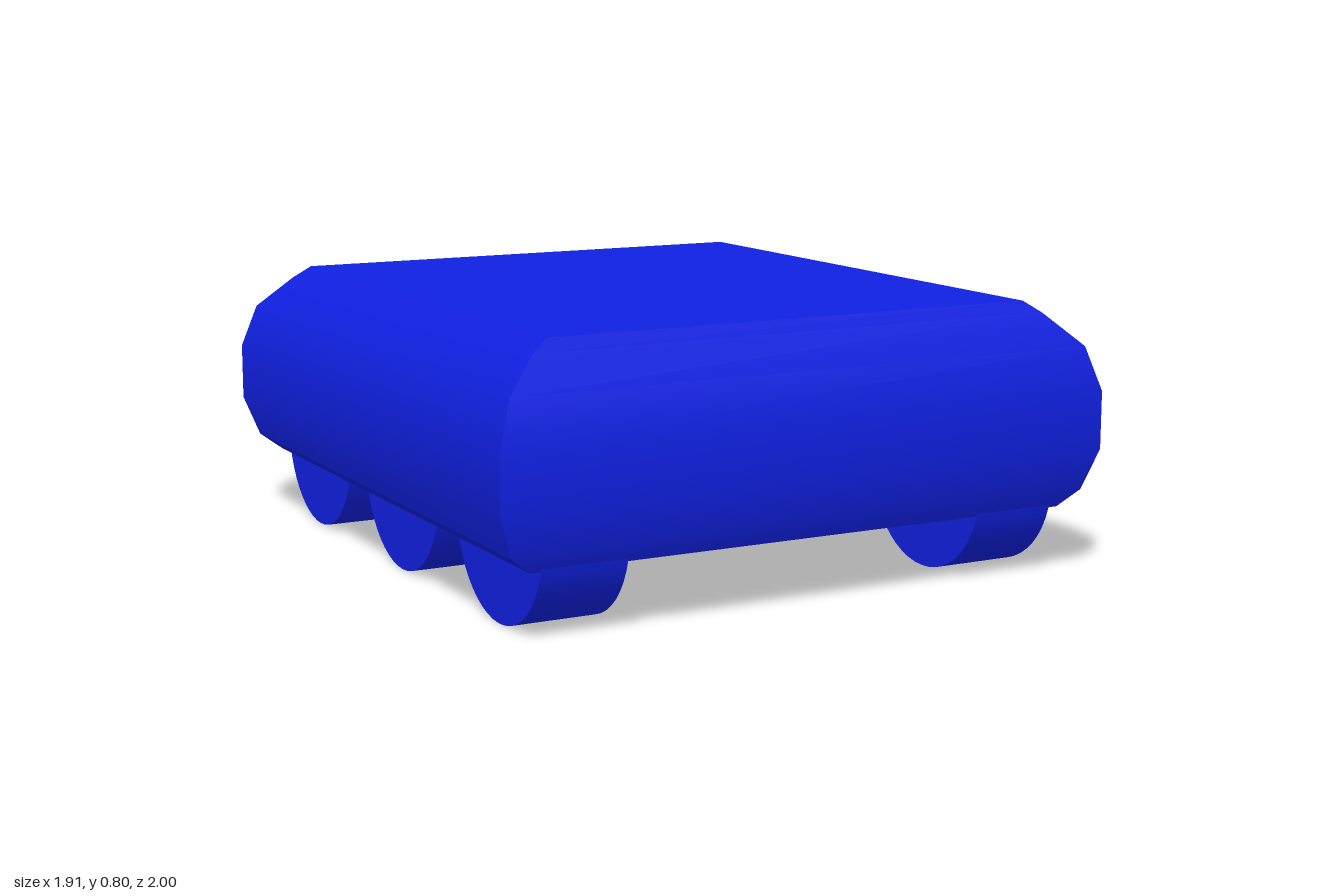
import * as THREE from 'three';
import { toCreasedNormals } from 'three/addons/utils/BufferGeometryUtils.js';

// Rectangular rings of the shell, bottom to top: [half width, height, half length]
const RINGS = [
  [0.845, 0.2, 0.943], [0.91, 0.25, 0.97], [0.953, 0.37, 1], [0.953, 0.54, 1],
  [0.91, 0.67, 0.97], [0.81, 0.765, 0.895], [0.757, 0.8, 0.873],
];
const CORNERS = [[1, 1], [1, -1], [-1, -1], [-1, 1]];

// Open-bottomed shell: mitred walls between the rings and a flat roof
function shellGeometry() {
  const positions = [], index = [];
  for (const [w, y, l] of RINGS) {
    for (const [sx, sz] of CORNERS) positions.push(sx * w, y, sz * l);
  }
  const quad = (a, b, c, d) => index.push(a, b, c, a, c, d);
  for (let i = 0; i < RINGS.length - 1; i++) {
    for (let j = 0; j < 4; j++) {
      const a = i * 4 + j, b = i * 4 + (j + 1) % 4;
      quad(a, b, b + 4, a + 4);
    }
  }
  const top = (RINGS.length - 1) * 4;
  quad(top, top + 1, top + 2, top + 3);

  const geometry = new THREE.BufferGeometry();
  geometry.setAttribute('position', new THREE.Float32BufferAttribute(positions, 3));
  geometry.setIndex(index);
  return toCreasedNormals(geometry, THREE.MathUtils.degToRad(29));
}

export function createModel() {
  const model = new THREE.Group();
  model.name = 'vehicleBody';
  const blue = new THREE.MeshStandardMaterial({ color: 0x1020e0, side: THREE.DoubleSide });

  const shell = new THREE.Mesh(shellGeometry(), blue);
  shell.name = 'bodyShell';
  model.add(shell);

  // Three wheels along each side, resting on the ground
  const radius = 0.276;
  const wheelGeometry = new THREE.CylinderGeometry(radius, radius, 0.255, 48).rotateZ(Math.PI / 2);
  for (const side of [1, -1]) {
    ['front', 'middle', 'rear'].forEach((place, i) => {
      const wheel = new THREE.Mesh(wheelGeometry, blue);
      wheel.name = `${place}${side > 0 ? 'Left' : 'Right'}Wheel`;
      wheel.position.set(side * 0.688, radius, (1 - i) * 0.68);
      model.add(wheel);
    });
  }
  return model;
}
